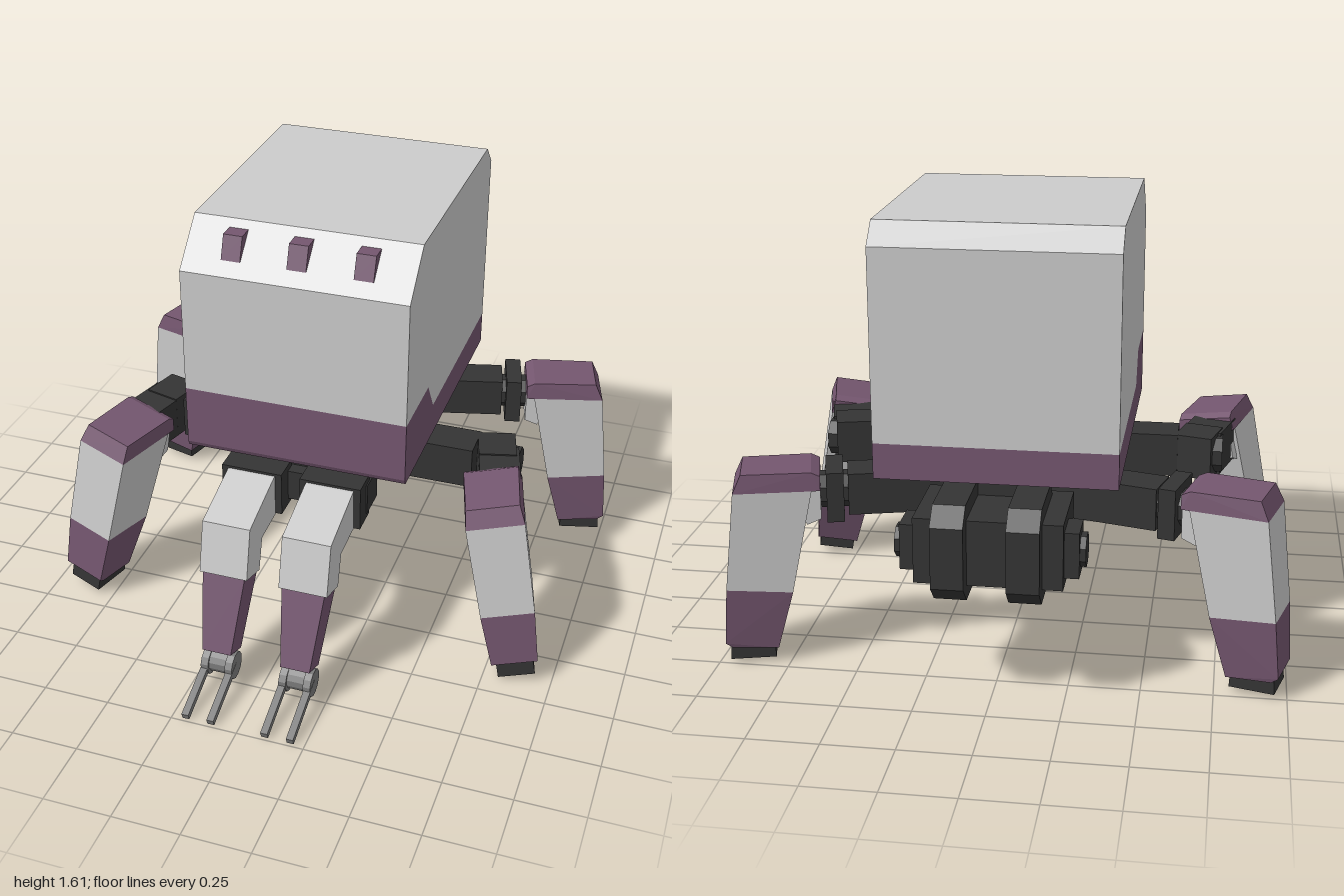
import * as THREE from 'three';
import { ConvexGeometry } from 'three/addons/geometries/ConvexGeometry.js';

const mat = (color) => new THREE.MeshStandardMaterial({ color, flatShading: true });
const GREY = mat(0xcccccc), PURPLE = mat(0x74566f), DARK = mat(0x343434), STEEL = mat(0x7c7c7c);
const RAD = Math.PI / 180;

function add(parent, name, geometry, material, x = 0, y = 0, z = 0) {
  const mesh = new THREE.Mesh(geometry, material);
  mesh.name = name;
  mesh.position.set(x, y, z);
  parent.add(mesh);
  return mesh;
}

function group(parent, name, x = 0, y = 0, z = 0) {
  const g = new THREE.Group();
  g.name = name;
  g.position.set(x, y, z);
  parent.add(g);
  return g;
}

const box = (w, h, d) => new THREE.BoxGeometry(w, h, d);

// Side outline of [z, y] points, extruded across x
function prism(points, width) {
  const shape = new THREE.Shape(points.map(([z, y]) => new THREE.Vector2(z, y)));
  const geo = new THREE.ExtrudeGeometry(shape, { depth: width, bevelEnabled: false });
  return geo.translate(0, 0, -width / 2).rotateY(-Math.PI / 2);
}

// Tapered block from [r, y, halfWidth] corners, mirrored to both sides
function taper(corners) {
  return new ConvexGeometry(corners.flatMap(([r, y, w]) =>
    [new THREE.Vector3(r, y, w), new THREE.Vector3(r, y, -w)]));
}

// Disc with its axis along x
const hub = (radius, width, sides = 8) =>
  new THREE.CylinderGeometry(radius, radius, width, sides).rotateY(Math.PI / sides).rotateZ(Math.PI / 2);

function buildBody(root) {
  const body = group(root, 'body');
  add(body, 'upperShell', prism([[0.365, 0.985], [0.365, 1.455], [0.21, 1.61], [-0.69, 1.61],
    [-0.765, 1.535], [-0.765, 0.865], [0, 0.865], [0.08, 0.985]], 0.83), GREY);
  add(body, 'lowerShell', prism([[0.355, 0.74], [0.365, 0.76], [0.365, 0.985], [0.08, 0.985],
    [0, 0.865], [-0.765, 0.865], [-0.765, 0.74]], 0.83), PURPLE);
  for (const x of [-0.24, 0, 0.24])
    add(body, 'sensor', prism([[0.285, 1.5], [0.325, 1.5], [0.295, 1.585], [0.22, 1.585]], 0.07), PURPLE, x);
  // Tapered keel between the hips
  add(body, 'keel', taper([[-0.4, 0.745, 0.14], [0.4, 0.745, 0.14], [-0.33, 0.595, 0.125],
    [0.33, 0.595, 0.125]]), PURPLE, 0, 0, -0.265);
}

function buildChassis(root) {
  const chassis = group(root, 'chassis');
  add(chassis, 'spine', box(0.24, 0.17, 0.98), DARK, 0, 0.635, -0.2);
  add(chassis, 'frontBeam', box(1.16, 0.16, 0.145), DARK, 0, 0.635, -0.04);
  add(chassis, 'frontBeamPad', box(0.4, 0.05, 0.14), DARK, 0, 0.54, -0.03);
  add(chassis, 'armBeam', box(0.54, 0.12, 0.12), DARK, 0, 0.63, 0.28);
  add(chassis, 'mountPlate', box(0.5, 0.03, 0.95), DARK, 0, 0.73, -0.2);
}

function buildEngine(root) {
  const engine = group(root, 'rearEngine');
  add(engine, 'engineCore', box(0.5, 0.23, 0.31), DARK, 0, 0.555, -0.77);
  for (const s of [-1, 1]) {
    add(engine, 'engineBlock', prism([[-0.64, 0.45], [-0.7, 0.39], [-0.93, 0.39], [-0.99, 0.45],
      [-0.99, 0.665], [-0.93, 0.725], [-0.7, 0.725], [-0.64, 0.665]], 0.11), DARK, s * 0.125);
    add(engine, 'engineSide', box(0.05, 0.16, 0.13), DARK, s * 0.275, 0.555, -0.835);
    add(engine, 'engineCap', hub(0.058, 0.08), DARK, s * 0.28, 0.555, -0.835);
  }
}

// Leg with local x pointing outward and its inner top edge at the origin
function buildLeg(parent, name, x, z, heading, roll) {
  const leg = group(parent, name, x, 0.6, z);
  leg.rotation.set(roll * RAD, -heading * RAD, 0, 'YXZ');
  const part = (label, corners, material) => add(leg, label, taper(corners), material, 0, -0.6, 0);
  part('kneeCap', [[0, 0.66, 0.108], [0, 0.71, 0.1], [0.03, 0.725, 0.1], [0.27, 0.725, 0.095],
    [0.3, 0.66, 0.105]], PURPLE);
  part('kneeTab', [[0, 0.66, 0.09], [0, 0.55, 0.09], [0.05, 0.53, 0.09], [0.1, 0.66, 0.09]], GREY);
  part('shin', [[0.03, 0.66, 0.105], [0.3, 0.66, 0.105], [0.34, 0.3, 0.098], [0.11, 0.28, 0.098]], GREY);
  part('ankle', [[0.11, 0.28, 0.098], [0.34, 0.3, 0.098], [0.355, 0.09, 0.085], [0.33, 0.07, 0.08],
    [0.17, 0.06, 0.08]], PURPLE);
  part('foot', [[0.185, 0.1, 0.068], [0.335, 0.1, 0.068], [0.34, 0.02, 0.068], [0.18, 0.02, 0.068]], DARK);
}

function buildFrontLeg(side) {
  const knuckle = add(side, 'frontKnuckle', box(0.14, 0.16, 0.15), DARK, 0.655, 0.635, -0.05);
  knuckle.rotation.y = 15 * RAD;
  add(side, 'frontHub', hub(0.07, 0.06), DARK, 0.715, 0.635, -0.055);
  const link = add(side, 'frontLink', box(0.2, 0.16, 0.15), DARK, 0.69, 0.63, 0.06);
  link.rotation.y = -75 * RAD;
  buildLeg(side, 'frontLeg', 0.69, 0.11, 75, 10);
}

function buildRearLeg(side) {
  const hip = group(side, 'rearHip', 0, 0.63, -0.435);
  hip.rotation.y = 15 * RAD;
  add(hip, 'rearBeam', box(0.57, 0.15, 0.14), DARK, 0.285, 0, 0);
  add(hip, 'rearCollar', box(0.06, 0.18, 0.19), DARK, 0.615, 0, 0);
  add(hip, 'rearHub', hub(0.065, 0.16), DARK, 0.63, 0, 0);
  buildLeg(side, 'rearLeg', 0.645, -0.6, -15, 0);
}

function buildManipulator(side) {
  const arm = group(side, 'manipulator', 0.15, 0, 0);
  add(arm, 'shoulderMount', box(0.23, 0.17, 0.11), DARK, 0, 0.63, 0.355);
  add(arm, 'upperArm', prism([[0.36, 0.54], [0.36, 0.71], [0.42, 0.705], [0.665, 0.64], [0.71, 0.45],
    [0.585, 0.41], [0.55, 0.53], [0.42, 0.54]], 0.18), GREY);
  const forearm = add(arm, 'forearm', taper([[0.705, 0.45, 0.08], [0.58, 0.41, 0.08],
    [0.7, 0.13, 0.055], [0.8, 0.17, 0.055]]), PURPLE);
  forearm.rotation.y = -Math.PI / 2;
  // Wrist and the two prongs
  add(arm, 'wrist', hub(0.045, 0.07, 12), STEEL, 0, 0.1, 0.755);
  for (const s of [-1, 1]) {
    add(arm, 'prongJoint', hub(0.052, 0.028, 12), STEEL, s * 0.046, 0.095, 0.76);
    const prong = add(arm, 'prong', box(0.026, 0.026, 0.25), STEEL, s * 0.048, 0.056, 0.873);
    prong.rotation.x = 19.5 * RAD;
  }
}

export function createModel() {
  const root = new THREE.Group();
  root.name = 'walker';
  buildBody(root);
  buildChassis(root);
  buildEngine(root);
  for (const [name, s] of [['leftLimbs', 1], ['rightLimbs', -1]]) {
    const side = group(root, name);
    side.scale.x = s;
    buildFrontLeg(side);
    buildRearLeg(side);
    buildManipulator(side);
  }
  return root;
}
